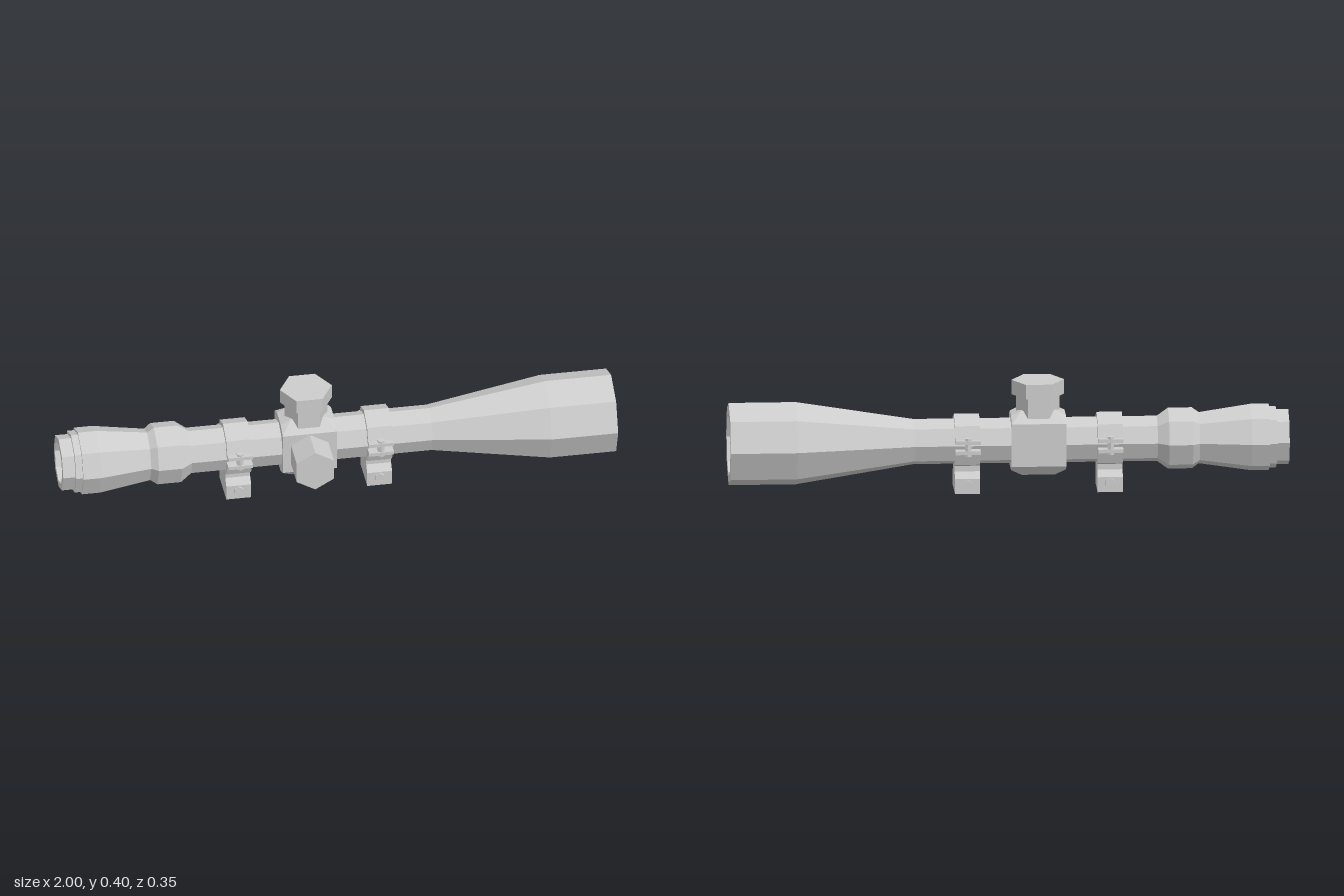
import * as THREE from 'three';
import { ConvexGeometry } from 'three/addons/geometries/ConvexGeometry.js';

const material = new THREE.MeshStandardMaterial({ color: 0xcccccc, flatShading: true });

function add(parent, name, geometry, x = 0, y = 0, z = 0) {
  const mesh = new THREE.Mesh(geometry, material);
  mesh.name = name;
  mesh.position.set(x, y, z);
  parent.add(mesh);
  return mesh;
}

// Extrudes a (z, y) outline along x, centred on x = 0
function extrudeX(points, width) {
  const shape = new THREE.Shape(points.map(([u, v]) => new THREE.Vector2(u, v)));
  return new THREE.ExtrudeGeometry(shape, { depth: width, bevelEnabled: false })
    .translate(0, 0, -width / 2)
    .rotateY(Math.PI / 2);
}

// Split clamp ring with lugs, screws, foot and cross bolts
function createMount(name, x) {
  const mount = new THREE.Group();
  mount.name = name;
  mount.position.x = x;
  const width = 0.09;
  for (const s of [1, -1]) {
    const half = [[0.095, 0.012], [0.071, 0.071], [0, 0.1], [-0.071, 0.071], [-0.095, 0.012]];
    add(mount, s > 0 ? 'upperClamp' : 'lowerClamp', extrudeX(half.map(([z, y]) => [z, y * s]), width));
    for (const side of [1, -1]) {
      add(mount, 'clampLug', new THREE.BoxGeometry(width, 0.013, 0.04), 0, s * 0.0185, side * 0.093);
    }
  }
  for (const side of [1, -1]) {
    add(mount, 'clampScrew', new THREE.CylinderGeometry(0.013, 0.013, 0.066, 6), 0, 0, side * 0.099);
    add(mount, 'crossBolt', new THREE.CylinderGeometry(0.019, 0.019, 0.02, 6).rotateX(Math.PI / 2),
      0, -0.144, side * 0.071);
  }
  const foot = [[-0.072, -0.178], [0.072, -0.178], [0.072, -0.123], [0.05, -0.1], [0.05, -0.06],
    [-0.05, -0.06], [-0.05, -0.1], [-0.072, -0.123]];
  add(mount, 'foot', extrudeX(foot, width));
  return mount;
}

export function createModel() {
  const group = new THREE.Group();
  group.name = 'scope';
  // All parts are placed relative to the optical axis
  const body = new THREE.Group();
  body.name = 'body';
  body.position.set(0, 0.178, -0.025);
  group.add(body);

  // Octagonal tube as [radius, x], with a recessed lens at each end
  const profile = [
    [0, -0.96], [0.078, -0.96], [0.078, -1], [0.101, -1], [0.101, -0.955], [0.113, -0.955],
    [0.113, -0.93], [0.122, -0.93], [0.122, -0.865], [0.094, -0.68], [0.112, -0.655],
    [0.112, -0.57], [0.083, -0.53], [0.083, 0.34], [0.151, 0.76], [0.151, 1],
    [0.115, 1], [0.115, 0.94], [0, 0.94],
  ].map(([r, x]) => new THREE.Vector2(r, x));
  add(body, 'tube', new THREE.LatheGeometry(profile, 8).rotateZ(-Math.PI / 2));

  // Chamfered housing under the adjustment turrets
  const corners = [];
  for (const sx of [1, -1]) for (const sy of [1, -1]) for (const sz of [1, -1]) {
    for (const [x, y, z] of [[0.098, 0.078, 0.085], [0.098, 0.1, 0.04], [0.06, 0.118, 0.04]]) {
      corners.push(new THREE.Vector3(sx * x, sy * y, sz * z));
    }
  }
  const turretX = -0.105;
  add(body, 'turretHousing', new ConvexGeometry(corners), turretX);

  // Hexagonal turrets
  const hex = (r, h) => new THREE.CylinderGeometry(r, r, h, 6);
  add(body, 'topTurretStem', hex(0.078, 0.09).rotateY(Math.PI / 2), turretX, 0.126);
  add(body, 'topTurretCap', hex(0.094, 0.053).rotateY(Math.PI / 2), turretX, 0.1955);
  add(body, 'sideTurret', hex(0.078, 0.15).rotateX(Math.PI / 2), turretX, -0.004, 0.127);

  body.add(createMount('rearMount', -0.36), createMount('frontMount', 0.15));
  return group;
}
